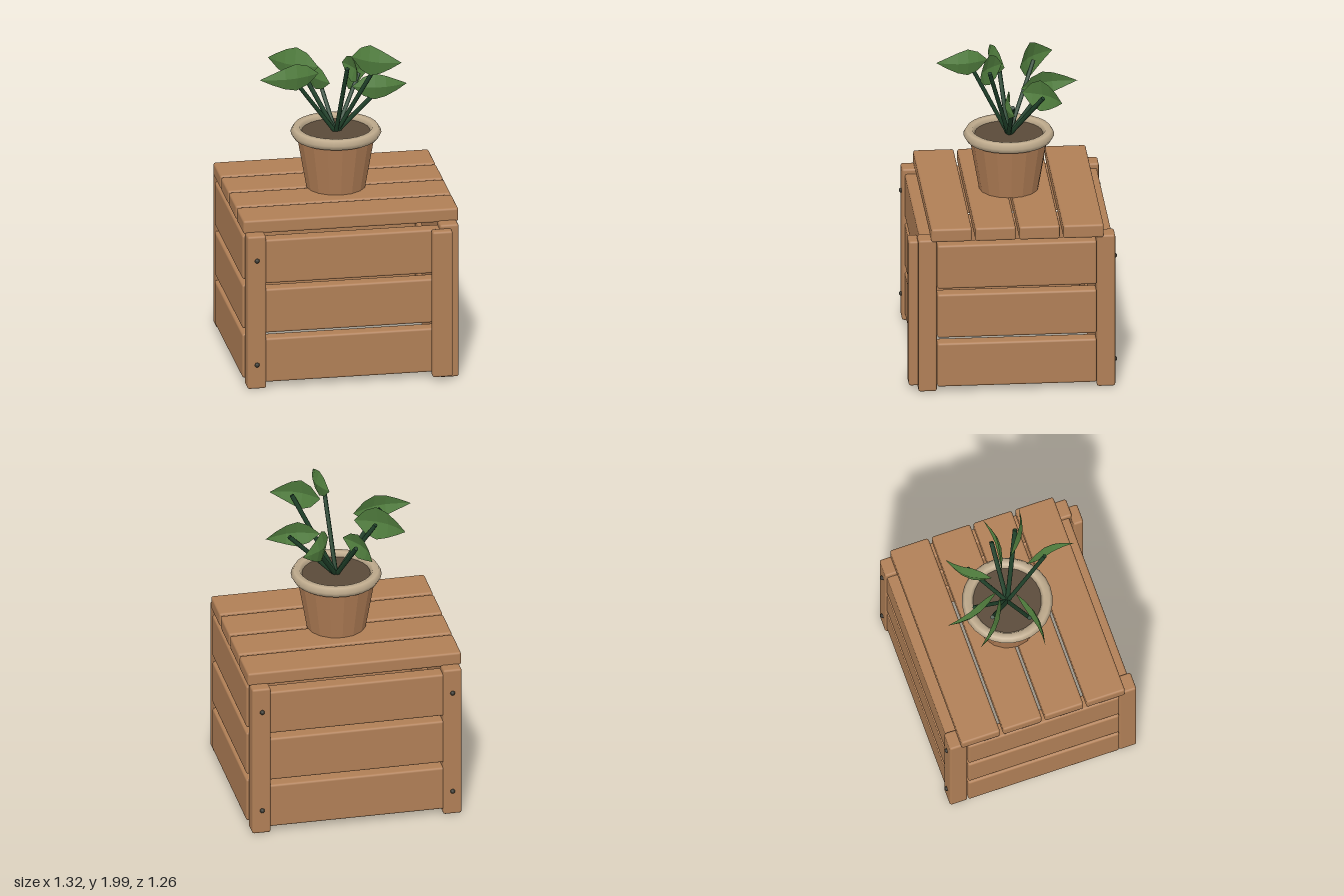
import * as THREE from 'three';
import { RoundedBoxGeometry } from 'three/addons/geometries/RoundedBoxGeometry.js';

const mat = (name, color, extra = {}) =>
  Object.assign(new THREE.MeshStandardMaterial({ color, ...extra }), { name });

export function createModel() {
  const model = new THREE.Group();
  model.name = 'crateWithPottedPlant';

  const wood = mat('wood', 0xb07f56);
  const clay = mat('clay', 0xb07d55, { flatShading: true });
  const rimClay = mat('paleRim', 0xbfab8d);
  const soilMat = mat('soil', 0x5a4a39);
  const iron = mat('iron', 0x3a3830);
  const stemGreen = mat('stemGreen', 0x1f4029);
  const leafGreen = mat('leafGreen', 0x52803f, { flatShading: true, side: THREE.DoubleSide });

  const add = (name, geometry, material, x = 0, y = 0, z = 0, parent = model) => {
    const mesh = new THREE.Mesh(geometry, material);
    mesh.name = name;
    mesh.position.set(x, y, z);
    parent.add(mesh);
    return mesh;
  };

  // Softened board given by its minimum and maximum corners
  const board = (name, x0, x1, y0, y1, z0, z1) =>
    add(name, new RoundedBoxGeometry(x1 - x0, y1 - y0, z1 - z0, 2, 0.014), wood,
      (x0 + x1) / 2, (y0 + y1) / 2, (z0 + z1) / 2);

  // Corner posts
  for (const [x0, x1] of [[-0.648, -0.533], [0.533, 0.648]]) {
    board('frontPost', x0, x1, 0.005, 0.987, 0.463, 0.575);
    board('backPost', x0, x1, 0.005, 0.987, -0.619, -0.507);
  }
  board('frontBatten', 0.478, 0.602, 0.028, 0.965, 0.567, 0.63);

  // Three rows of slats around the crate
  for (let i = 0; i < 3; i++) {
    const y0 = 0.038 + i * 0.3175, y1 = y0 + 0.282;
    board('frontSlat', -0.64, 0.64, y0, y1, 0.465, 0.557);
    board('backSlat', -0.64, 0.64, y0, y1, -0.608, -0.51);
    board('leftSlat', 0.567, 0.66, y0, y1, -0.505, 0.461);
    board('rightSlat', -0.66, -0.567, y0, y1, -0.505, 0.461);
  }

  // Lid planks
  for (let i = 0; i < 4; i++) {
    const z = -0.425 + i * 0.2665;
    board('lidPlank', -0.66, 0.66, 0.976, 1.062, z - 0.123, z + 0.123);
  }

  // Nail heads
  const nail = new THREE.SphereGeometry(0.015, 10, 6);
  for (const y of [0.16, 0.83])
    for (const [x, z] of [[-0.59, 0.575], [-0.59, -0.62], [0.587, -0.62]])
      add('nail', nail, iron, x, y, z);

  // Pot, rim and soil
  const plant = new THREE.Group();
  plant.name = 'pottedPlant';
  plant.position.z = -0.027;
  model.add(plant);
  add('pot', new THREE.CylinderGeometry(0.24, 0.18, 0.34, 16), clay, 0, 1.23, 0, plant);
  add('potRim', new THREE.TorusGeometry(0.24, 0.035, 6, 28), rimClay, 0, 1.41, 0, plant)
    .rotation.x = Math.PI / 2;
  add('soil', new THREE.CylinderGeometry(0.212, 0.212, 0.03, 28), soilMat, 0, 1.398, 0, plant);

  // Upright folded leaf running outward along +x and bowing sideways along z
  const leafGeometry = (r0, r1, halfWidth, bow) => {
    const widths = [0, 0.72, 1, 0.78, 0.42, 0];
    const pos = [], index = [], n = widths.length - 1;
    widths.forEach((w, i) => {
      const t = i / n, x = r0 + (r1 - r0) * t;
      const rib = bow * 0.047 * Math.sin(Math.PI * t);
      const edge = rib - bow * 0.022 * w;
      pos.push(x, w * halfWidth, edge, x, 0, rib, x, -w * halfWidth, edge);
      if (i === n) return;
      for (let k = 0; k < 2; k++) {
        const a = i * 3 + k, b = a + 3;
        index.push(a, a + 1, b, a + 1, b + 1, b);
      }
    });
    const g = new THREE.BufferGeometry();
    g.setAttribute('position', new THREE.Float32BufferAttribute(pos, 3));
    g.setIndex(index);
    g.computeVertexNormals();
    return g;
  };

  // Each shoot: heading in degrees, height, stem reach, leaf base, leaf tip, half width, bow side
  const shoots = [
    [0, 1.69, 0.29, 0.1, 0.436, 0.083, 1],
    [29, 1.9, 0.28, 0.1, 0.42, 0.098, 1],
    [84, 1.9, 0.25, 0.13, 0.446, 0.083, -1],
    [171, 1.795, 0.285, 0.11, 0.486, 0.085, -1],
    [219, 1.8, 0.265, 0.12, 0.468, 0.11, -1],
    [253, 1.69, 0.245, 0.08, 0.446, 0.08, -1],
    [312, 1.7, 0.26, 0.1, 0.405, 0.1, -1],
  ];
  for (const [deg, y, reach, r0, r1, halfWidth, bow] of shoots) {
    const shoot = new THREE.Group();
    shoot.name = 'shoot';
    shoot.rotation.y = -THREE.MathUtils.degToRad(deg);
    plant.add(shoot);
    const path = new THREE.LineCurve3(new THREE.Vector3(0, 1.4, 0), new THREE.Vector3(reach, y, 0));
    const length = path.getLength();
    const mid = path.getPoint(0.5);
    add('stem', new THREE.CylinderGeometry(0.014, 0.014, length, 6), stemGreen, mid.x, mid.y, 0, shoot)
      .rotation.z = -Math.atan2(reach, y - 1.4);
    add('leaf', leafGeometry(r0, r1, halfWidth, bow), leafGreen, 0, y, 0, shoot);
  }

  return model;
}
